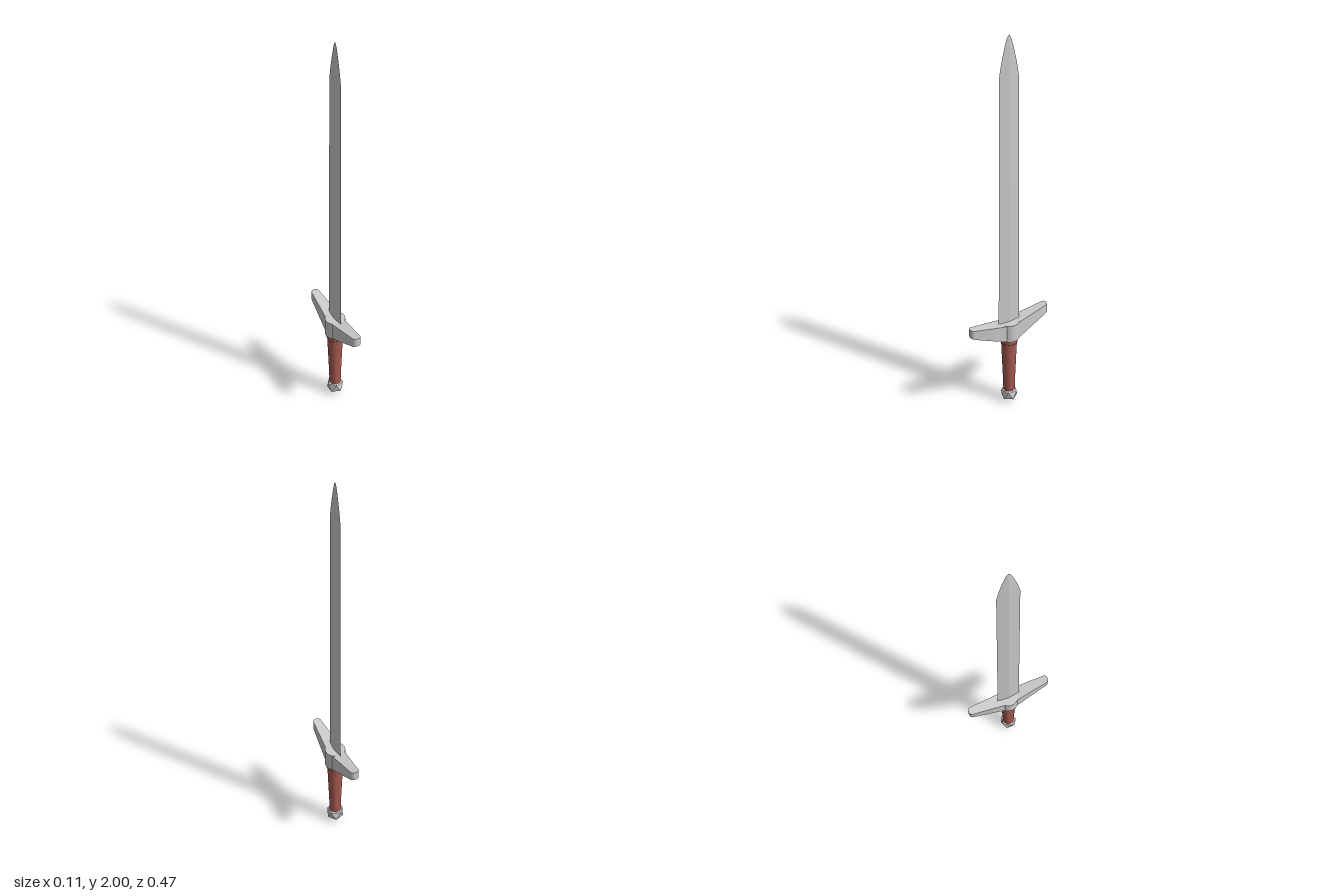
import * as THREE from 'three';
import { toCreasedNormals } from 'three/addons/utils/BufferGeometryUtils.js';

const steel = new THREE.MeshStandardMaterial({ color: 0xcccccc });
const facetedSteel = new THREE.MeshStandardMaterial({ color: 0xcccccc, flatShading: true });
const leather = new THREE.MeshStandardMaterial({ color: 0xa65a50 });

// Diamond cross-sections [y, half width in z, half thickness in x] joined into a closed skin
function diamondLoft(sections) {
  const pos = [], index = [];
  for (const [y, w, t] of sections) pos.push(t, y, 0, 0, y, -w, -t, y, 0, 0, y, w);
  for (let s = 0; s < sections.length - 1; s++) {
    for (let i = 0; i < 4; i++) {
      const a = s * 4 + i, b = s * 4 + (i + 1) % 4;
      index.push(a, b, b + 4, a, b + 4, a + 4);
    }
  }
  const e = (sections.length - 1) * 4;
  index.push(0, 2, 1, 0, 3, 2, e, e + 1, e + 2, e, e + 2, e + 3);
  const geo = new THREE.BufferGeometry();
  geo.setAttribute('position', new THREE.Float32BufferAttribute(pos, 3));
  geo.setIndex(index);
  return geo;
}

const Z0 = 0.037, Z1 = 0.237;
const armBottom = z => 0.42 + Math.max(0, z - Z0) * 0.425;
const armTop = z => 0.517 + (z - Z0) * 0.18;

// Arm: tapered plan with a rounded end, its top and bottom sloping up outwards
function armGeometry() {
  const plan = new THREE.Shape();
  plan.moveTo(-0.038, -Z0);
  plan.lineTo(-0.022, -0.221);
  for (let i = 1; i <= 10; i++) {
    const a = Math.PI * (1 - i / 10);
    plan.lineTo(0.022 * Math.cos(a), -0.221 - (Z1 - 0.221) * Math.sin(a));
  }
  plan.lineTo(0.038, -Z0);
  const geo = new THREE.ExtrudeGeometry(plan, { depth: 1, bevelEnabled: false });
  geo.rotateX(-Math.PI / 2);
  const p = geo.attributes.position;
  for (let i = 0; i < p.count; i++) {
    const z = p.getZ(i);
    p.setY(i, p.getY(i) > 0.5 ? armTop(z) : armBottom(z));
  }
  return toCreasedNormals(geo, 0.6);
}

export function createModel() {
  const model = new THREE.Group();
  const add = (name, geo, mat, parent = model) => {
    const mesh = new THREE.Mesh(geo, mat);
    mesh.name = name;
    parent.add(mesh);
    return mesh;
  };

  // Blade
  const blade = diamondLoft([
    [0.5, 0.064, 0.007], [1.82, 0.052, 0.006], [1.88, 0.041, 0.0055],
    [1.94, 0.026, 0.005], [1.985, 0.012, 0.003], [2.0, 0.003, 0.001],
  ]).toNonIndexed();
  blade.computeVertexNormals();
  add('blade', blade, facetedSteel);

  // Crossguard: round hub with its underside trimmed to the arms
  const guard = new THREE.Group();
  guard.name = 'crossguard';
  model.add(guard);
  const hub = new THREE.CylinderGeometry(0.054, 0.054, 0.1, 40);
  hub.translate(0, 0.47, 0);
  const p = hub.attributes.position;
  for (let i = 0; i < p.count; i++) {
    if (p.getY(i) < 0.47) p.setY(i, armBottom(Math.abs(p.getZ(i))));
  }
  add('guardHub', hub, steel, guard);
  const arm = armGeometry();
  add('frontGuardArm', arm, steel, guard);
  add('backGuardArm', arm, steel, guard).rotation.y = Math.PI;

  // Grip with a collar at its top
  const profile = [
    [0, 0.07], [0.031, 0.07], [0.033, 0.15], [0.042, 0.39], [0.046, 0.395],
    [0.046, 0.415], [0.044, 0.422], [0, 0.422],
  ].map(([r, y]) => new THREE.Vector2(r, y));
  const grip = toCreasedNormals(new THREE.LatheGeometry(profile, 24), 0.6);
  add('grip', grip, leather);

  // Faceted pommel standing on a corner
  const pommel = new THREE.IcosahedronGeometry(0.05, 0);
  pommel.rotateZ(Math.atan(2 / (1 + Math.sqrt(5))));
  pommel.translate(0, 0.05, 0);
  add('pommel', pommel, facetedSteel);

  return model;
}
